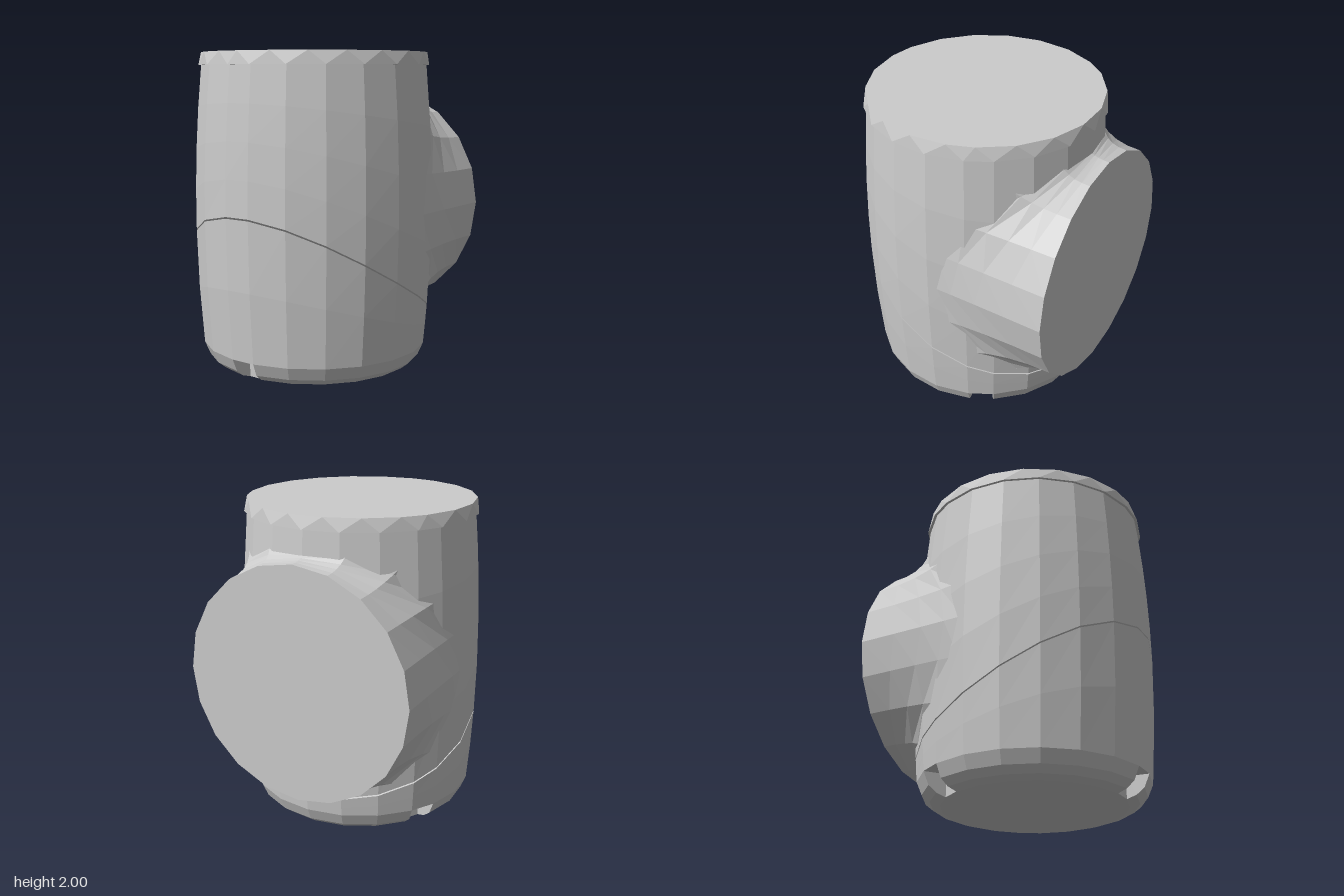
import * as THREE from 'three';

const CX = -0.04;          // barrel axis
const GAP = 0.005;         // half width of the slanted seam
const NOTCH_TOP = 0.14, NOTCH_R = 0.58;

// Barrel angles: each third starts with a narrow notch column
const ANGLES = [];
for (const centre of [60, 180, 300]) {
  ANGLES.push(centre - 6.5);
  for (let k = 0; k < 6; k++) ANGLES.push(centre + 6.5 + (k * 107) / 6);
}
const rad = THREE.MathUtils.degToRad;
const barrelR = (y) => 0.765 - 0.045 * ((y - 1) / 0.9) ** 2;
const seamY = (x) => 0.52 - 0.5 * x + 0.155 * x * x;
const polar = (deg, r, y) => [CX + r * Math.cos(rad(deg)), y, r * Math.sin(rad(deg))];
const ring = (r, y, turn = 0) => ANGLES.map((a) => polar(a + turn, r, y));

// Point on the slanted cut at a fraction s of the barrel radius
function seamPoint(deg, s, offset) {
  const edge = seamY(polar(deg, 0.76, 0)[0]);
  const r = s * barrelR(edge);
  return polar(deg, r, seamY(polar(deg, r, 0)[0]) + offset);
}

// Skin a list of cross-sections
function loft(rows, closed = true, skip = () => false) {
  const n = rows[0].length, index = [];
  for (let i = 0; i < rows.length - 1; i++) {
    for (let j = 0; j < (closed ? n : n - 1); j++) {
      if (skip(i, j)) continue;
      const k = (j + 1) % n, a = i * n + j, b = i * n + k;
      index.push(a, a + n, b, b, a + n, b + n);
    }
  }
  const g = new THREE.BufferGeometry();
  g.setAttribute('position', new THREE.Float32BufferAttribute(rows.flat(2), 3));
  g.setIndex(index);
  const flat = g.toNonIndexed();
  flat.computeVertexNormals();
  return flat;
}

const grey = new THREE.MeshStandardMaterial({ color: 0xcccccc, flatShading: true });
const greyThin = new THREE.MeshStandardMaterial({ color: 0xcccccc, flatShading: true, side: THREE.DoubleSide });

function part(name, geometry, material = grey) {
  const mesh = new THREE.Mesh(geometry, material);
  mesh.name = name;
  return mesh;
}

// Rounded bottom edge, radius and height
const FOOT = [[NOTCH_R, 0], [0.64, 0.02], [0.69, 0.06], [barrelR(NOTCH_TOP), NOTCH_TOP]];

// Lower body: flat bottom, rounded edge, wall up to the slanted cut
function lowerBody() {
  const rows = [ring(0, 0), ...FOOT.map(([r, y]) => ring(r, y))];
  for (const t of [0.5, 1]) {
    rows.push(ANGLES.map((a) => {
      const top = seamPoint(a, 1, -GAP)[1];
      const y = NOTCH_TOP + (top - NOTCH_TOP) * t;
      return polar(a, barrelR(y), y);
    }));
  }
  for (const s of [0.66, 0.33, 0]) rows.push(ANGLES.map((a) => seamPoint(a, s, -GAP)));
  return loft(rows, true, (i, j) => j % 7 === 0 && i >= 1 && i <= 3);
}

// Upper body: slanted underside and bulging wall up to the rim
function upperBody() {
  const rows = [0, 0.33, 0.66].map((s) => ANGLES.map((a) => seamPoint(a, s, GAP)));
  for (const t of [0, 0.25, 0.5, 0.75, 1]) {
    rows.push(ANGLES.map((a) => {
      const low = seamPoint(a, 1, GAP)[1];
      const y = low + (1.92 - low) * t;
      return polar(a, barrelR(y), y);
    }));
  }
  rows.push(ring(0, 1.92));
  return loft(rows);
}

// Rim and flat top, with the upper ring turned half a step
function topRim() {
  return loft([ring(0, 1.92), ring(0.735, 1.92), ring(0.718, 2, 8), ring(0, 2, 8)]);
}

// Side branch: flat round end blending into the barrel
function sideBranch() {
  const N = 20, R = 0.74, CY = 1.005;
  const onBarrel = (y, z, k) => {
    const r = barrelR(y) * k;
    const zz = THREE.MathUtils.clamp(z, -r, r);
    return new THREE.Vector3(CX + Math.sqrt(Math.max(0, r * r - zz * zz)), y, zz);
  };
  const rows = Array.from({ length: 7 }, () => []);
  for (let j = 0; j < N; j++) {
    const a = (j / N) * Math.PI * 2;
    const c = Math.cos(a), s = -Math.sin(a);
    const flare = R * (1.06 + 0.14 * Math.abs(Math.sin(2 * a)));
    const root = onBarrel(CY + flare * c, flare * s, 0.98);
    root.y = Math.max(root.y, seamY(root.x) + 0.012);
    const corner = onBarrel(CY + R * c, R * s, 1);
    const end = new THREE.Vector3(0.8, CY + R * c, R * s);
    const curve = new THREE.QuadraticBezierCurve3(root, corner, end);
    for (let i = 0; i <= 5; i++) rows[i].push(curve.getPoint(i / 5).toArray());
    rows[6].push([0.8, CY, 0]);
  }
  return loft(rows);
}

// Pocket cut into the bottom edge: back wall with ceiling, and two cheeks
function notch(centre) {
  const group = new THREE.Group();
  group.name = 'footNotch';
  const sides = [centre - 6.5, centre + 6.5];
  const inner = [[NOTCH_R, 0], [NOTCH_R, NOTCH_TOP], FOOT[3]];
  group.add(part('notchBack', loft(inner.map(([r, y]) => sides.map((a) => polar(a, r, y))), false), greyThin));
  for (const a of sides) {
    const rows = FOOT.map(([r, y]) => [polar(a, r, y), polar(a, NOTCH_R, NOTCH_TOP)]);
    group.add(part('notchCheek', loft(rows, false), greyThin));
  }
  return group;
}

export function createModel() {
  const model = new THREE.Group();
  model.name = 'barrelWithSideBranch';
  model.add(
    part('lowerBody', lowerBody()),
    part('upperBody', upperBody()),
    part('topRim', topRim()),
    part('sideBranch', sideBranch()),
  );
  for (const centre of [60, 180, 300]) model.add(notch(centre));
  return model;
}
